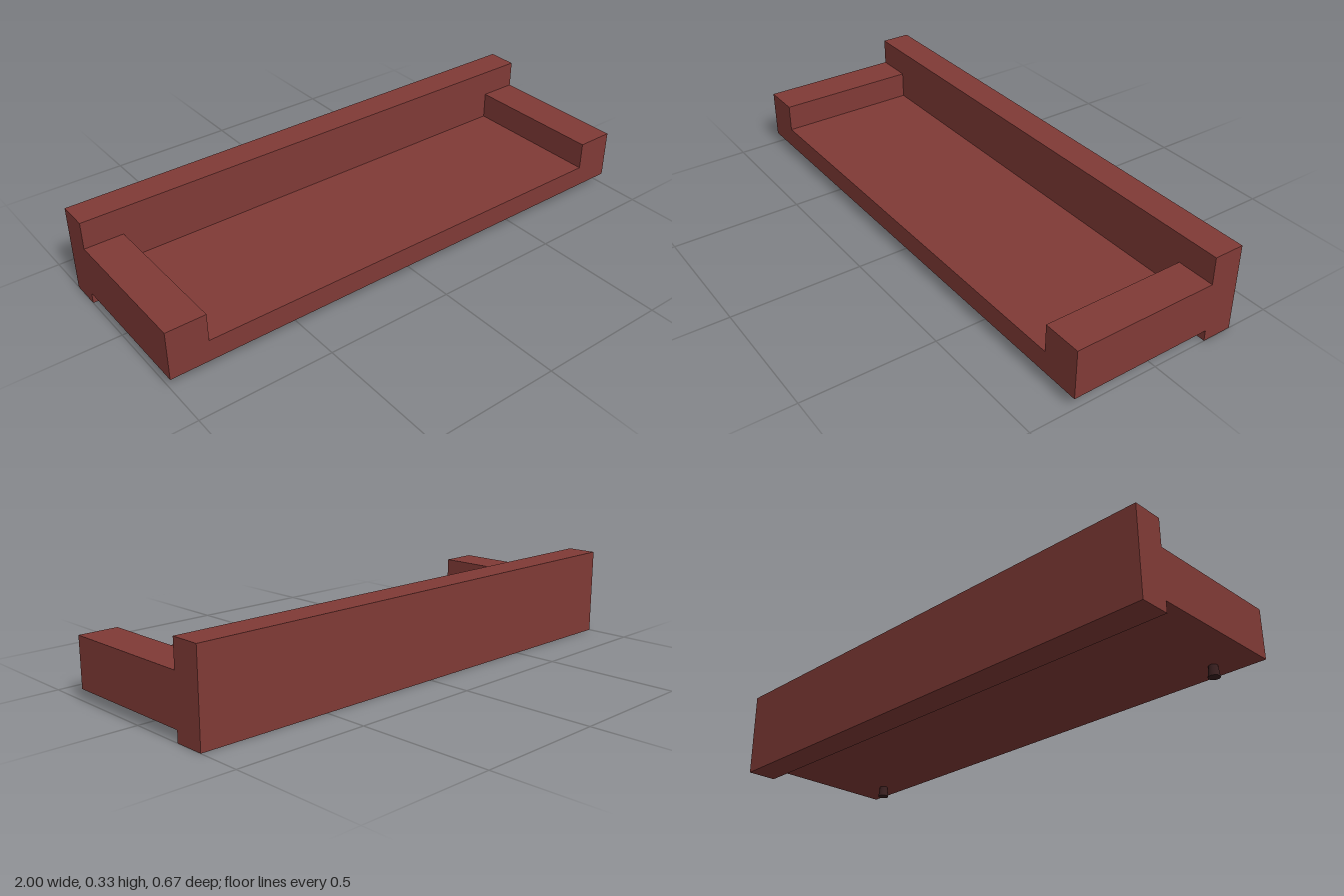
import * as THREE from 'three';

const BACK_Z = -0.333, FRONT_Z = 0.333, SPLIT_Z = -0.217; // back, front, and face of the backrest
const BASE_Y = 0.042, SEAT_Y = 0.124, ARM_Y = 0.229, TOP_Y = 0.333;
const ARM_X = 0.853;

export function createModel() {
  const group = new THREE.Group();
  const fabric = new THREE.MeshStandardMaterial({ color: 0x803a36 });
  const wood = new THREE.MeshStandardMaterial({ color: 0x3a2020 });

  const add = (name, geometry, material, x, y, z) => {
    const mesh = new THREE.Mesh(geometry, material);
    mesh.name = name;
    mesh.position.set(x, y, z);
    group.add(mesh);
  };

  // Seat and both armrests: one U-shaped section running front to back
  const section = new THREE.Shape([
    [-1, BASE_Y], [1, BASE_Y], [1, ARM_Y], [ARM_X, ARM_Y],
    [ARM_X, SEAT_Y], [-ARM_X, SEAT_Y], [-ARM_X, ARM_Y], [-1, ARM_Y],
  ].map(([x, y]) => new THREE.Vector2(x, y)));
  const seat = new THREE.ExtrudeGeometry(section, { depth: FRONT_Z - SPLIT_Z, bevelEnabled: false });
  add('seatAndArmrests', seat, fabric, 0, 0, SPLIT_Z);

  // Backrest reaching down to the floor
  const backDepth = SPLIT_Z - BACK_Z;
  add('backrest', new THREE.BoxGeometry(2, TOP_Y, backDepth), fabric, 0, TOP_Y / 2, BACK_Z + backDepth / 2);

  // Front legs, flaring towards the floor
  const leg = new THREE.CylinderGeometry(0.016, 0.0215, BASE_Y, 32);
  for (const side of [-1, 1]) {
    add(side > 0 ? 'leftFrontLeg' : 'rightFrontLeg', leg, wood, side * 0.85, BASE_Y / 2, 0.251);
  }

  return group;
}
